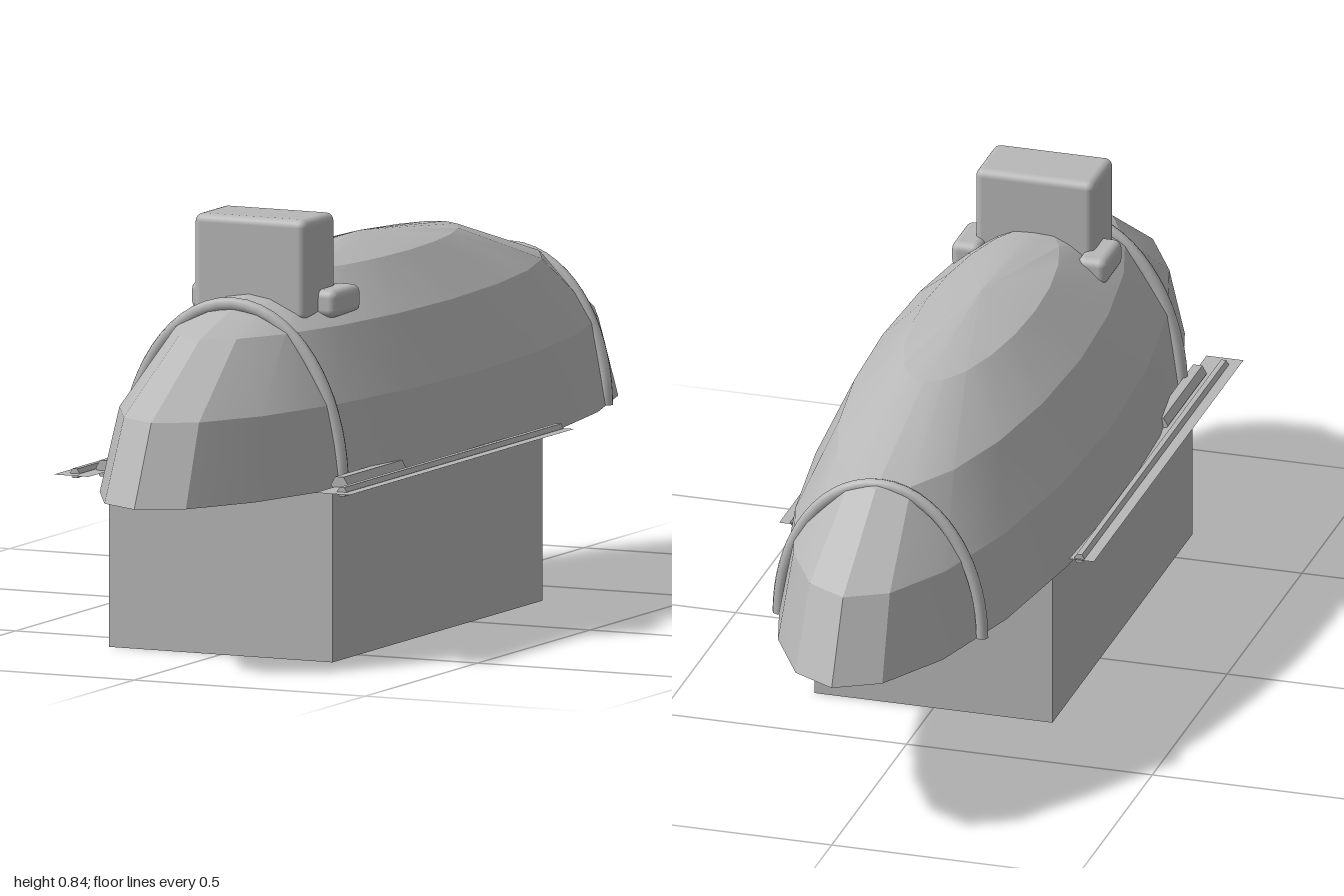
import * as THREE from 'three';
import { toCreasedNormals } from 'three/addons/utils/BufferGeometryUtils.js';
import { RoundedBoxGeometry } from 'three/addons/geometries/RoundedBoxGeometry.js';

const BASE = 0.335; // height of the flat underside of the hull

export function createModel() {
  const model = new THREE.Group();
  const grey = new THREE.MeshStandardMaterial({ color: 0xb8b8b8 });
  grey.name = 'plain grey';
  const greySheet = new THREE.MeshStandardMaterial({ color: 0xb8b8b8, side: THREE.DoubleSide });
  greySheet.name = 'plain grey sheet';

  const add = (name, geometry, x = 0, y = 0, z = 0, material = grey) => {
    const mesh = new THREE.Mesh(geometry, material);
    mesh.name = name;
    mesh.position.set(x, y, z);
    model.add(mesh);
    return mesh;
  };

  // Half-ellipsoid hull with a faceted skin and a flat floor
  const dome = new THREE.SphereGeometry(1, 20, 4, 0, Math.PI * 2, 0, Math.PI / 2);
  dome.scale(0.285, 0.42, 1);
  add('hull', toCreasedNormals(dome, 0.28), 0, BASE, 0);
  const floor = new THREE.CircleGeometry(1, 20);
  floor.rotateZ(Math.PI / 2);
  floor.rotateX(Math.PI / 2);
  floor.scale(0.285, 1, 1);
  add('hullFloor', floor, 0, BASE, 0);

  // Box slung under the hull
  add('lowerBox', new THREE.BoxGeometry(0.484, BASE, 0.935), 0, BASE / 2, 0.1475);

  // Rounded block on top
  add('topBlock', new RoundedBoxGeometry(0.242, 0.2, 0.14, 3, 0.016), 0, 0.744, 0.42);

  // Hoops hugging the hull
  const hoop = (name, z, a, b, r) => {
    const points = [];
    for (let i = 0; i <= 24; i++) {
      const t = (Math.PI * i) / 24;
      points.push(new THREE.Vector3(a * Math.cos(t), b * Math.sin(t), 0));
    }
    const path = new THREE.CatmullRomCurve3(points);
    add(name, new THREE.TubeGeometry(path, 32, r, 8, false), -0.003, BASE, z, greySheet);
  };
  hoop('frontHoop', 0.553, 0.236, 0.346, 0.0135);
  hoop('rearHoop', -0.684, 0.207, 0.298, 0.0125);

  // Six-sided rod lying along z
  const rod = (radius, length) => {
    const g = new THREE.CylinderGeometry(radius, radius, length, 6, 1, false, Math.PI / 6);
    g.rotateX(Math.PI / 2);
    return toCreasedNormals(g, 0.3);
  };

  // Parts repeated on both sides
  for (const [side, s] of [['left', 1], ['right', -1]]) {
    add(side + 'Pod', new RoundedBoxGeometry(0.06, 0.055, 0.12, 3, 0.016), s * 0.128, 0.673, 0.37);
    const plate = new THREE.PlaneGeometry(0.075, 1);
    plate.rotateX(-Math.PI / 2);
    add(side + 'SidePlate', plate, s * 0.2825, 0.345, 0.2, greySheet);
    add(side + 'Rail', rod(0.0105, 0.965), s * 0.289, 0.3455, 0.1875);
    add(side + 'Barrel', rod(0.0185, 0.26), s * 0.2545, 0.349, 0.48);
  }
  return model;
}
